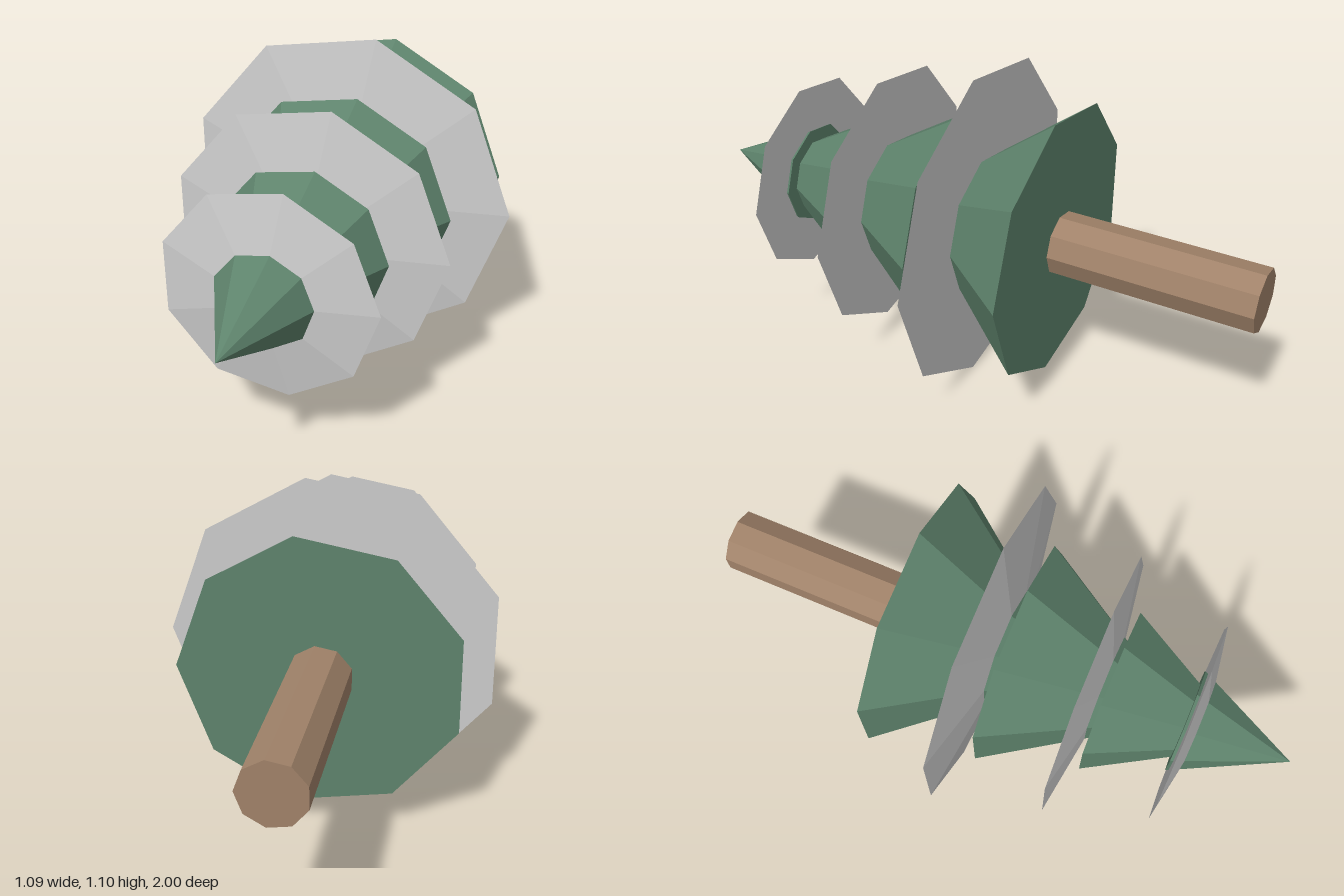
import * as THREE from 'three';

const SIDES = 9;

export function createModel() {
  const tree = new THREE.Group();
  tree.name = 'lyingTree';

  const material = (color) => new THREE.MeshStandardMaterial({ color, flatShading: true });
  const green = material(0x5e836c);
  const brown = material(0xa08269);
  const grey = material(0xcccccc);

  // Nine-sided solid along z, from its back face to its front end
  function addSolid(name, frontRadius, backRadius, back, front, mat) {
    const length = front - back;
    const geometry = new THREE.CylinderGeometry(
      frontRadius, backRadius, length, SIDES, 1, false, Math.PI / 2);
    geometry.rotateX(Math.PI / 2);
    const mesh = new THREE.Mesh(geometry, mat);
    mesh.name = name;
    mesh.position.z = (back + front) / 2;
    tree.add(mesh);
  }

  // Trunk
  addSolid('trunk', 0.105, 0.105, -1, -0.3, brown);

  // Foliage cones: radius, back z, tip z
  [
    [0.18, 0.64, 1],
    [0.284, 0.377, 0.87],
    [0.387, 0.042, 0.645],
    [0.465, -0.322, 0.262],
  ].forEach(([r, back, tip], i) => addSolid(`foliageTier${i + 1}`, 0, r, back, tip, green));

  // Shallow discs around the cones: radius, back z, height
  [
    [0.347, 0.65, 0.06],
    [0.459, 0.315, 0.07],
    [0.56, -0.05, 0.085],
  ].forEach(([r, back, h], i) => addSolid(`snowDisc${i + 1}`, 0, r, back, back + h, grey));

  tree.position.set(-0.017, 0.5515, 0);
  const model = new THREE.Group();
  model.name = 'tree';
  model.add(tree);
  return model;
}
